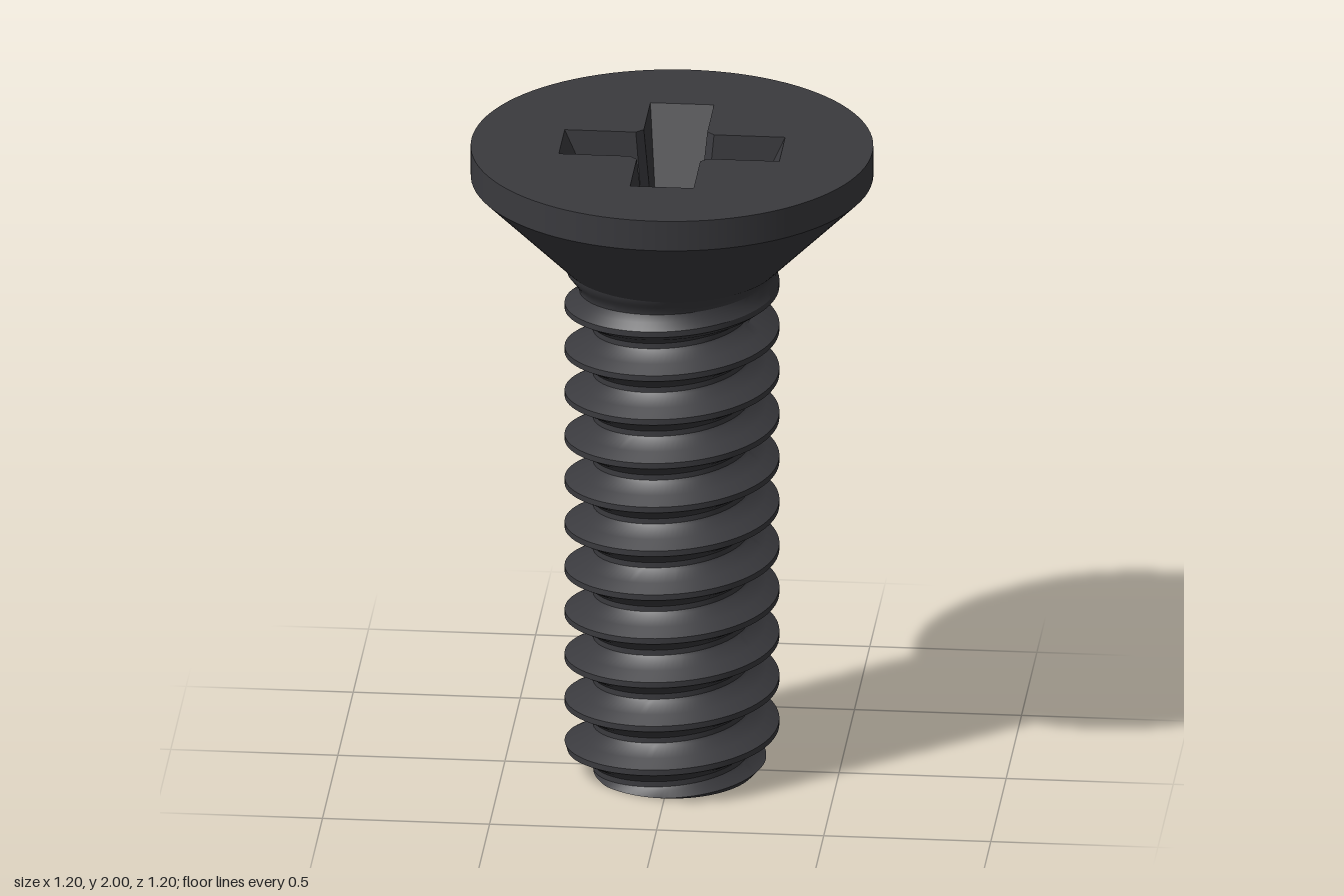
import * as THREE from 'three';
import { toCreasedNormals } from 'three/addons/utils/BufferGeometryUtils.js';

const TOP = 2, NECK = 1.63;
const HEAD_R = 0.6, CREST_R = 0.32, THREAD_DEPTH = 0.085;
const PITCH = 0.141, START = 0.005;
const FLOOR = 1.75, DIMPLE_R = 0.115;

const material = new THREE.MeshStandardMaterial({ color: 0x3a3a3e });

// One pitch of the thread: [height above crest centre, depth fraction]
const profile = [
  [-0.009, 0], [0.009, 0], [0.031, 0.46], [0.053, 0.92], [0.062, 1],
  [0.079, 1], [0.088, 0.92], [0.11, 0.46], [0.132, 0],
];

function grooveDepth(height) {
  const u = THREE.MathUtils.euclideanModulo(height + 0.009, PITCH) - 0.009;
  for (let i = 1; i < profile.length; i++) {
    const [u0, d0] = profile[i - 1], [u1, d1] = profile[i];
    if (u <= u1) return d0 + ((d1 - d0) * (u - u0)) / (u1 - u0);
  }
  return 0;
}

// Thread radius, with run-out under the head and a chamfered tip
function threadRadius(y, turn) {
  const fade = THREE.MathUtils.clamp((NECK - y) / 0.16, 0, 1);
  const r = CREST_R - THREAD_DEPTH * fade * grooveDepth(y - START - turn * PITCH);
  return Math.min(r, 0.25 + 0.9 * y);
}

function threadPoint(y, turn) {
  const a = turn * Math.PI * 2, r = threadRadius(y, turn);
  return [r * Math.cos(a), y, -r * Math.sin(a)];
}

function fromTriangles(points) {
  const geometry = new THREE.BufferGeometry();
  geometry.setAttribute('position', new THREE.Float32BufferAttribute(points.flat(), 3));
  geometry.computeVertexNormals();
  return geometry;
}

// Right-handed helical surface whose rows follow the thread
function threadGeometry(segments = 96) {
  const rows = [];
  for (let k = -2; k <= 11; k++) {
    for (const [u] of profile.slice(0, -1)) rows.push(START + k * PITCH + u);
  }
  rows.push(START + 11 * PITCH + 0.132);
  const points = [];
  const at = (row, s) =>
    threadPoint(THREE.MathUtils.clamp(rows[row] + (s / segments) * PITCH, 0, NECK), s / segments);
  const level = (row, s) => THREE.MathUtils.clamp(rows[row] + (s / segments) * PITCH, 0, NECK);
  for (let i = 0; i < rows.length - 1; i++) {
    for (let s = 0; s < segments; s++) {
      const a = at(i, s), b = at(i, s + 1), c = at(i + 1, s + 1), d = at(i + 1, s);
      if (level(i, s + 1) < level(i + 1, s + 1)) points.push(a, b, c);
      if (level(i, s) < level(i + 1, s)) points.push(a, c, d);
    }
  }
  return toCreasedNormals(fromTriangles(points), 0.5);
}

// Flat end of the shaft
function tipGeometry(segments = 96) {
  const points = [];
  for (let s = 0; s < segments; s++) {
    points.push([0, 0, 0], threadPoint(0, (s + 1) / segments), threadPoint(0, s / segments));
  }
  return fromTriangles(points);
}

// Cross outline with cut inner corners, counter-clockwise
function crossOutline(length, width, cut) {
  const arm = [[width + cut, -width], [length, -width], [length, width], [width + cut, width]];
  const outline = [];
  for (let q = 0; q < 4; q++) {
    for (const [x, y] of arm) {
      outline.push(new THREE.Vector2(x, y).rotateAround(new THREE.Vector2(), (q * Math.PI) / 2));
    }
  }
  return outline;
}

function circleHole(radius) {
  return new THREE.Path().absarc(0, 0, radius, 0, Math.PI * 2, true);
}

function flatFace(shape, hole, y) {
  shape.holes.push(hole);
  return new THREE.ShapeGeometry(shape, 48).rotateX(-Math.PI / 2).translate(0, y, 0);
}

// Tapered walls between the two cross outlines
function recessWalls(upper, lower) {
  const points = [];
  const place = (p, y) => [p.x, y, -p.y];
  upper.forEach((p, i) => {
    const j = (i + 1) % upper.length;
    const a = place(p, TOP), b = place(upper[j], TOP);
    const c = place(lower[j], FLOOR), d = place(lower[i], FLOOR);
    points.push(a, b, c, a, c, d);
  });
  return fromTriangles(points);
}

function lathe(points) {
  return new THREE.LatheGeometry(points.map(([x, y]) => new THREE.Vector2(x, y)), 96);
}

export function createModel() {
  const screw = new THREE.Group();
  screw.name = 'countersunkScrew';
  const add = (parent, name, geometry) => {
    const mesh = new THREE.Mesh(geometry, material);
    mesh.name = name;
    parent.add(mesh);
  };

  // Threaded shaft
  const shaft = new THREE.Group();
  shaft.name = 'shaft';
  add(shaft, 'thread', threadGeometry());
  add(shaft, 'tip', tipGeometry());

  // Countersunk head
  const head = new THREE.Group();
  head.name = 'head';
  add(head, 'headCone', lathe([[CREST_R, 1.625], [HEAD_R, 1.905]]));
  add(head, 'headRim', lathe([[HEAD_R, 1.905], [HEAD_R, TOP]]));
  const upper = crossOutline(0.33, 0.095, 0.022);
  const lower = crossOutline(0.215, 0.07, 0.025);
  const disc = new THREE.Shape().absarc(0, 0, HEAD_R, 0, Math.PI * 2, false);
  add(head, 'headTop', flatFace(disc, new THREE.Path(upper), TOP));

  // Cross recess with a drilled centre
  const recess = new THREE.Group();
  recess.name = 'crossRecess';
  add(recess, 'recessWalls', recessWalls(upper, lower));
  add(recess, 'recessFloor', flatFace(new THREE.Shape(lower), circleHole(DIMPLE_R), FLOOR));
  add(recess, 'recessDimple', lathe([[DIMPLE_R, FLOOR], [0, FLOOR - 0.04]]));
  head.add(recess);

  screw.add(shaft, head);
  return screw;
}
